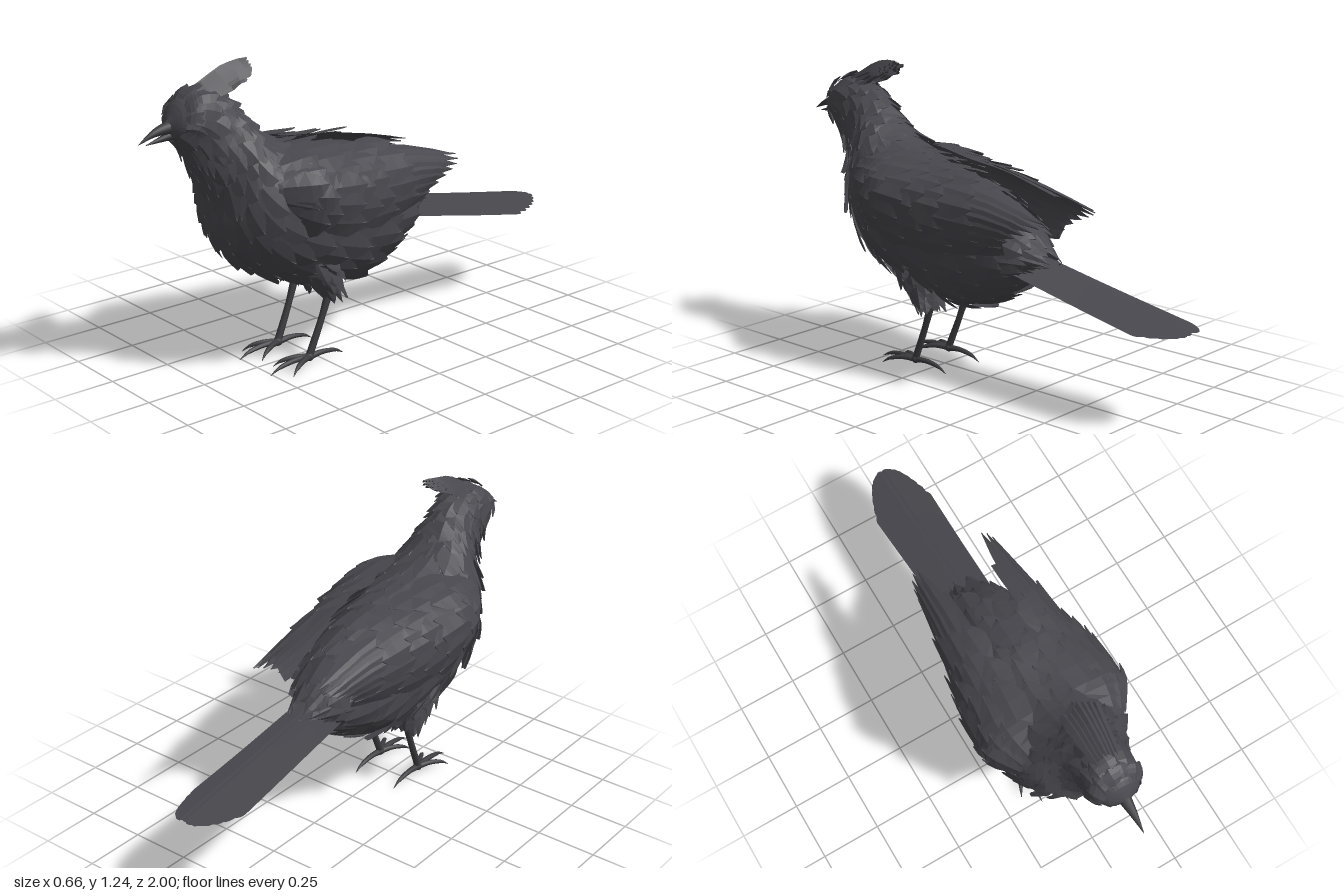
import * as THREE from 'three';
import { mergeGeometries } from 'three/addons/utils/BufferGeometryUtils.js';
import { ParametricGeometry } from 'three/addons/geometries/ParametricGeometry.js';

const V = (x, y, z) => new THREE.Vector3(x, y, z);
const curve = (pts) => new THREE.CatmullRomCurve3(pts.map((p) => V(...p)));

const plumage = new THREE.MeshStandardMaterial({ color: 0x47474d, flatShading: true, side: THREE.DoubleSide });
const skin = new THREE.MeshStandardMaterial({ color: 0x3c3c40, side: THREE.DoubleSide });

// Small seeded generator for feather irregularity, in -1..1
let seed = 7;
const jitter = () => {
  seed = (seed * 16807) % 2147483647;
  return (seed / 2147483647) * 2 - 1;
};

function add(parent, name, geometry, material = plumage) {
  const mesh = new THREE.Mesh(geometry, material);
  mesh.name = name;
  parent.add(mesh);
  return mesh;
}

// Grid of points (rows of equal length) to an indexed geometry
function gridGeometry(rows) {
  const n = rows[0].length, index = [];
  for (let i = 0; i < rows.length - 1; i++)
    for (let j = 0; j < n - 1; j++) {
      const a = i * n + j, b = a + n;
      index.push(a, b, a + 1, b, b + 1, a + 1);
    }
  const g = new THREE.BufferGeometry().setFromPoints(rows.flat());
  g.setIndex(index);
  g.computeVertexNormals();
  return g;
}

// Feather outline: [distance along, relative half width]
const OUTLINE = [[0, 0.5], [0.3, 0.9], [0.6, 1], [0.82, 0.66], [1, 0.04]];

// One feather lying on a surface P(t, v), pointing towards falling t
function feather(P, t, v, length, halfWidth, lift) {
  const at = (a, b) => P(a, b, V(0, 0, 0));
  const e = 0.004;
  const point = (a, b) => a >= 0 ? at(a, b)
    : at(0, b).add(at(0, b).sub(at(e, b)).multiplyScalar(-a / e));
  const along = point(t - e, v).sub(point(t, v));
  const across = point(t, v + e).sub(point(t, v));
  const normal = across.clone().cross(along).normalize();
  const dt = (length * e) / Math.max(along.length(), 1e-5);
  const dv = Math.min((halfWidth * e) / Math.max(across.length(), 1e-5), 0.2);
  return gridGeometry(OUTLINE.map(([s, w]) => [-1, 0, 1].map((k) =>
    point(t - s * dt, v + k * w * dv).addScaledVector(normal, 0.003 + lift * s + (k ? 0 : 0.004)))));
}

// Staggered overlapping rows of feathers over a surface
function featherRows(P, { t0, t1, rows, cols, v0 = 0, v1 = 1, size }) {
  const out = [];
  for (let i = 0; i < rows; i++) {
    const t = t0 + ((t1 - t0) * i) / (rows - 1);
    const [len, half, lift] = size(t);
    const n = cols(t);
    for (let j = 0; j < n; j++) {
      const v = v0 + ((v1 - v0) * (j + (i % 2) * 0.5 + 0.2 * jitter())) / n;
      out.push(feather(P, t + 0.012 * jitter(), v, len * (1 + 0.2 * jitter()), half, lift * (1 + 0.6 * jitter())));
    }
  }
  return mergeGeometries(out);
}

// Round tapering limb through points, with evenly spread radii
function limb(points, radii, sides = 8) {
  const c = curve(points);
  const n = 10, rows = [];
  const frames = c.computeFrenetFrames(n);
  for (let i = 0; i <= n; i++) {
    const f = (i / n) * (radii.length - 1), k = Math.min(Math.floor(f), radii.length - 2);
    const r = THREE.MathUtils.lerp(radii[k], radii[k + 1], f - k);
    const p = c.getPointAt(i / n), row = [];
    for (let j = 0; j <= sides; j++) {
      const a = (j / sides) * Math.PI * 2;
      row.push(p.clone().addScaledVector(frames.normals[i], r * Math.cos(a)).addScaledVector(frames.binormals[i], r * Math.sin(a)));
    }
    rows.push(row);
  }
  return gridGeometry(rows);
}

// Free blade along a path, widened in x, its edges drooping by cup
function blade(path, halfWidth, tipLength, cup) {
  const c = curve(path), rows = [];
  for (let i = 0; i <= 8; i++) {
    const s = i < 5 ? (i / 4) * (1 - tipLength) : 1 - tipLength + (tipLength * (i - 4)) / 4;
    const w = i < 5 ? 0.6 + 0.1 * i : Math.sqrt(1 - ((i - 4) / 4.05) ** 2);
    const p = c.getPoint(s);
    rows.push([-1, 0, 1].map((k) => p.clone().add(V(k * w * halfWidth, k ? -cup * w : 0, 0))));
  }
  return gridGeometry(rows);
}

// Torso, neck and head sections: [top z, top y, bottom z, bottom y, half width]
const SECTIONS = [
  [-0.28, 0.57, -0.26, 0.50, 0.06], [-0.19, 0.66, -0.17, 0.42, 0.13], [-0.05, 0.75, -0.05, 0.34, 0.18],
  [0.12, 0.82, 0.10, 0.295, 0.21], [0.28, 0.85, 0.28, 0.33, 0.235], [0.39, 0.88, 0.45, 0.38, 0.24],
  [0.47, 0.92, 0.59, 0.47, 0.22], [0.53, 0.97, 0.67, 0.60, 0.18], [0.57, 1.02, 0.70, 0.75, 0.13],
  [0.61, 1.07, 0.76, 0.87, 0.094], [0.67, 1.12, 0.80, 0.93, 0.09], [0.76, 1.145, 0.84, 0.97, 0.092],
  [0.83, 1.12, 0.865, 0.99, 0.072], [0.875, 1.06, 0.88, 1.03, 0.012],
];
const topLine = curve(SECTIONS.map((s) => [0, s[1], s[0]]));
const bottomLine = curve(SECTIONS.map((s) => [0, s[3], s[2]]));
const widthLine = curve(SECTIONS.map((s, i) => [s[4], i, 0]));
function bodySurface(t, v, out) {
  const a = v * Math.PI * 2, top = topLine.getPoint(t), bottom = bottomLine.getPoint(t);
  out.lerpVectors(bottom, top, 0.5 + 0.5 * Math.cos(a));
  out.x = widthLine.getPoint(t).x * Math.sin(a);
  return out;
}

// Folded wing: upper edge, outer bulge and lower edge, from back to front
const wingTop = curve([[0.11, 0.735, -0.38], [0.1, 0.785, -0.2], [0.1, 0.835, 0], [0.1, 0.86, 0.2], [0.12, 0.885, 0.4], [0.14, 0.88, 0.53]]);
const wingMid = curve([[0.18, 0.68, -0.37], [0.2, 0.72, -0.2], [0.23, 0.74, 0], [0.265, 0.765, 0.2], [0.29, 0.79, 0.4], [0.22, 0.79, 0.55]]);
const wingLow = curve([[0.14, 0.6, -0.28], [0.17, 0.58, -0.2], [0.21, 0.56, 0], [0.25, 0.56, 0.2], [0.25, 0.6, 0.4], [0.18, 0.68, 0.53]]);
function wingSurface(t, v, out) {
  const a = wingTop.getPoint(t), m = wingMid.getPoint(t), b = wingLow.getPoint(t);
  return out.set(0, 0, 0).addScaledVector(a, (1 - v) * (1 - 2 * v)).addScaledVector(m, 4 * v * (1 - v)).addScaledVector(b, v * (2 * v - 1));
}

// Feathered thigh, tapering down to the shank
function thighSurface(t, v, out) {
  const a = v * Math.PI * 2, r = Math.sin(Math.min(t, 1) * Math.PI * 0.5);
  return out.set(0.115 + (0.045 + 0.03 * r) * Math.cos(a), 0.29 + 0.2 * t, 0.23 + 0.09 * t + (0.03 + 0.075 * r) * Math.sin(a));
}

function createSide() {
  const side = new THREE.Group();
  const wing = new THREE.Group();
  wing.name = 'wing';
  side.add(wing);
  add(wing, 'wingShell', new ParametricGeometry((u, v, o) => wingSurface(0.15 + 0.85 * u, v, o), 16, 10));
  // Long flight feathers, the upper ones reaching furthest back
  const flight = [];
  for (let k = 0; k < 7; k++)
    flight.push(feather(wingSurface, 0.62, 0.16 + 0.12 * k, 0.655 - 0.012 * k * k * 0.4, 0.06, 0.012 - 0.0015 * k));
  add(wing, 'flightFeathers', mergeGeometries(flight));
  add(wing, 'wingCoverts', featherRows(wingSurface, {
    t0: 0.5, t1: 0.97, rows: 6, cols: () => 5, v0: 0.06, v1: 0.98, size: (t) => [0.27 - 0.12 * t, 0.06, 0.018] }));

  const leg = new THREE.Group();
  leg.name = 'leg';
  side.add(leg);
  add(leg, 'thigh', new ParametricGeometry(thighSurface, 6, 12));
  add(leg, 'thighFeathers', featherRows(thighSurface, {
    t0: 0.25, t1: 0.95, rows: 5, cols: () => 8, size: () => [0.09, 0.036, 0.022] }));
  add(leg, 'shank', limb([[0.108, 0.34, 0.205], [0.104, 0.18, 0.26], [0.1, 0.035, 0.32]], [0.018, 0.013, 0.015]), skin);
  const ankle = add(leg, 'ankle', new THREE.SphereGeometry(0.019, 10, 8), skin);
  ankle.position.set(0.1, 0.032, 0.32);
  // Three front toes and one hind toe, each ending in a claw
  for (const [dx, dz] of [[0, 0.19], [-0.065, 0.13], [0.065, 0.13], [0, -0.17]])
    add(leg, 'toe', limb([[0.1, 0.03, 0.32], [0.1 + dx * 0.4, 0.034, 0.32 + dz * 0.4],
      [0.1 + dx * 0.8, 0.022, 0.32 + dz * 0.8], [0.1 + dx, 0.003, 0.32 + dz]], [0.014, 0.011, 0.009, 0.001]), skin);

  const eye = add(side, 'eye', new THREE.SphereGeometry(0.014, 12, 8), skin);
  eye.position.set(0.07, 1.07, 0.825);
  return side;
}

export function createModel() {
  seed = 7;
  const bird = new THREE.Group();
  bird.name = 'crestedBird';
  add(bird, 'body', new ParametricGeometry(bodySurface, 48, 28));
  add(bird, 'bodyFeathers', featherRows(bodySurface, {
    t0: 0.07, t1: 0.91, rows: 22, cols: (t) => Math.round(15 - 3 * t),
    size: (t) => [0.175 - 0.11 * t, 0.07 - 0.042 * t, 0.026 - 0.006 * t] }));

  // Left side, then its mirror image
  const left = createSide();
  left.name = 'leftSide';
  const right = left.clone();
  right.name = 'rightSide';
  right.scale.x = -1;
  bird.add(left, right);

  // Tail: stacked blades, the central pair longest and uppermost
  const tail = [];
  for (let k = 0; k < 7; k++)
    for (const s of [-1, 1]) {
      const x = s * (0.012 + 0.0125 * k), y = -0.0095 * k, end = -0.995 + 0.0042 * k * k;
      tail.push(blade([[x, 0.57 + y, -0.15], [x, 0.49 + y, -0.55], [x, 0.555 + y + (end + 0.22) * 0.19, end]], 0.044, 0.08, 0.003));
    }
  add(bird, 'tailFeathers', mergeGeometries(tail));

  // Crest: narrow cupped feathers sweeping up and back from the crown
  const crest = [];
  for (let row = 0; row < 3; row++)
    for (let k = -3; k <= 3; k++) {
      const f = Math.abs(k) / 3, x = k * 0.012, drop = 0.014 * row + 0.022 * f;
      crest.push(blade([[x, 1.13, 0.79 - 0.03 * row], [x * 1.3, 1.2 - drop, 0.68 - 0.02 * row],
        [x * 1.5, 1.235 - drop, 0.59], [x * 1.7, 1.238 - drop, 0.51 + 0.03 * f + 0.012 * row + 0.012 * jitter()]], 0.018, 0.2, 0.02));
    }
  add(bird, 'crest', mergeGeometries(crest));

  // Slightly parted beak
  add(bird, 'upperBeak', limb([[0, 1.035, 0.85], [0, 1.022, 0.93], [0, 0.99, 1.0]], [0.028, 0.015, 0.001], 10), skin);
  add(bird, 'lowerBeak', limb([[0, 1.005, 0.85], [0, 0.992, 0.92], [0, 0.983, 0.97]], [0.02, 0.01, 0.001], 10), skin);
  return bird;
}
